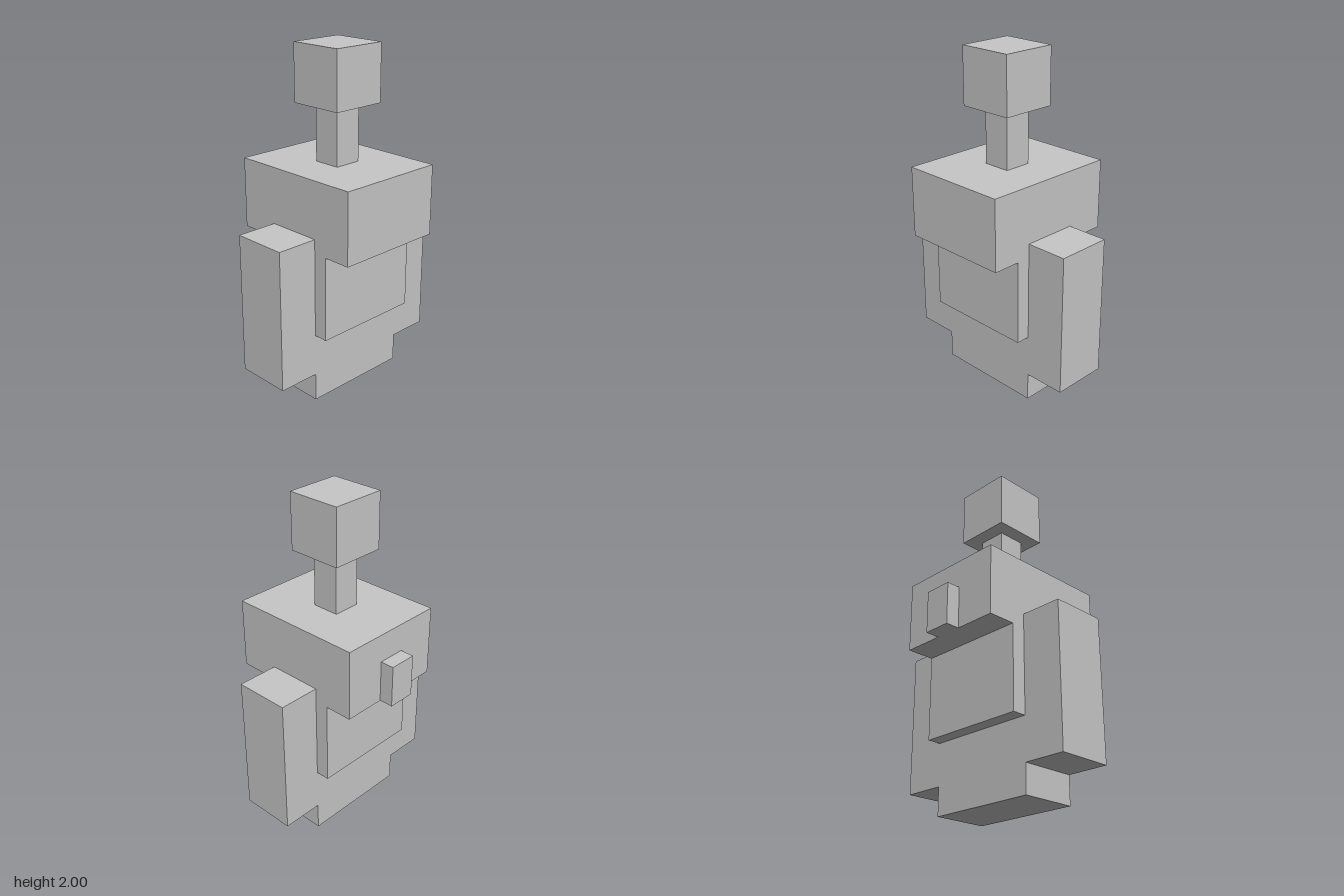
import * as THREE from 'three';

export function createModel() {
  const model = new THREE.Group();
  model.name = 'blockFigure';
  const lightGrey = new THREE.MeshStandardMaterial({ color: 0xc6c6c6 });
  lightGrey.name = 'lightGrey';

  // All parts sit on a grid of 24 steps per unit
  const U = 1 / 24;
  const block = (name, x0, x1, y0, y1, z0, z1) => {
    const mesh = new THREE.Mesh(
      new THREE.BoxGeometry((x1 - x0) * U, (y1 - y0) * U, (z1 - z0) * U), lightGrey);
    mesh.position.set((x0 + x1) / 2 * U, (y0 + y1) / 2 * U, (z0 + z1) / 2 * U);
    mesh.name = name;
    model.add(mesh);
  };

  // Body, bottom to top
  block('legs', -8, 8, 0, 10, -3, 5);
  block('torso', -8, 8, 10, 22, -5, 7);
  block('chest', -8, 8, 22, 32, -9, 11);
  block('neck', -2, 2, 32, 40, -1, 3);
  block('head', -4, 4, 40, 48, -3, 5);

  // Arms at both sides
  block('leftArm', 8, 14, 4, 24, -3, 5);
  block('rightArm', -14, -8, 4, 24, -3, 5);

  // Small block on the back
  block('backStub', -2, 2, 22, 28, -11, -9);
  return model;
}
